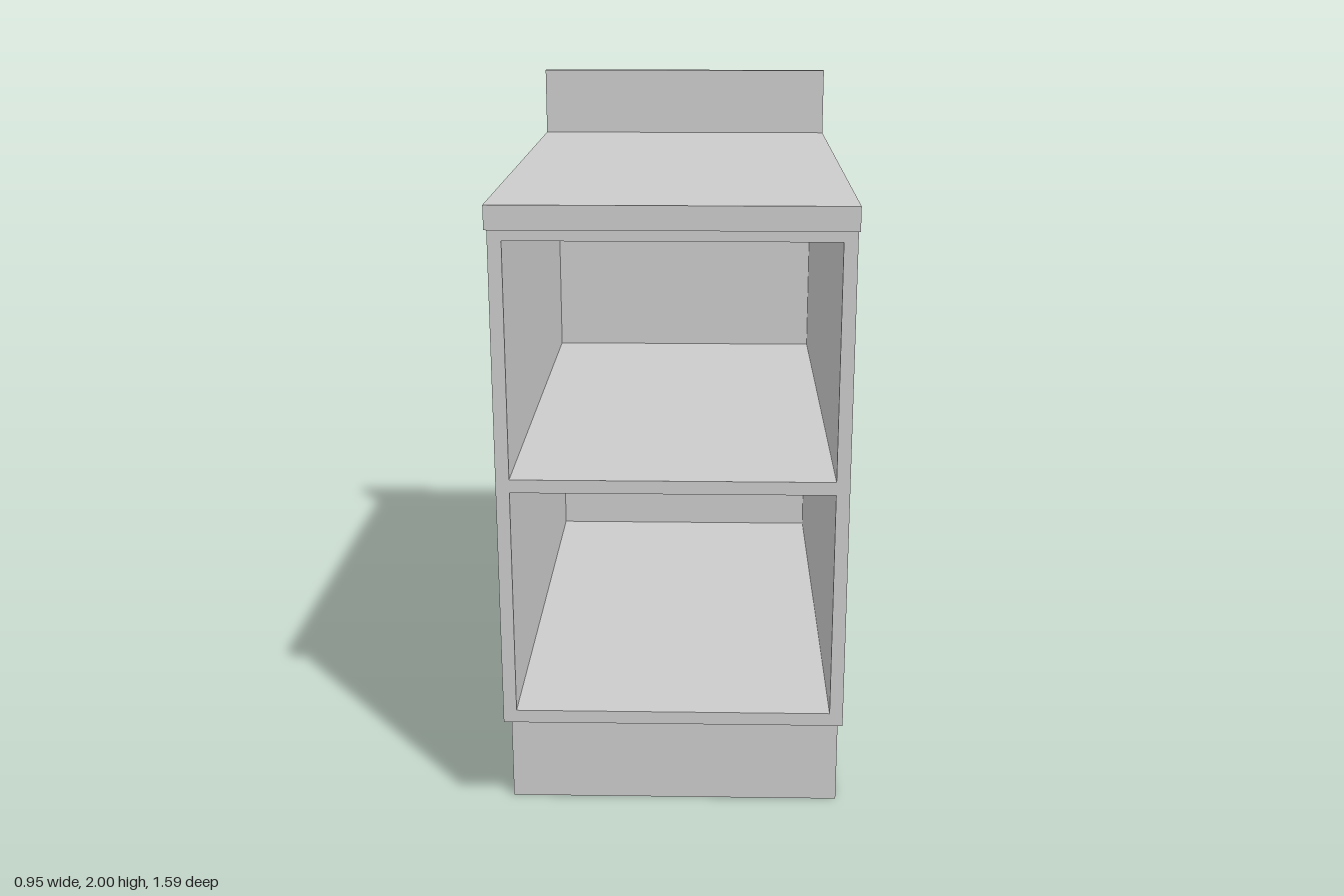
import * as THREE from 'three';

const HALF_W = 0.475;   // half cabinet width
const BACK = -0.793;    // rear plane
const FRONT = 0.742;    // carcass front plane
const T = 0.037;        // panel thickness

export function createModel() {
  const group = new THREE.Group();
  const material = new THREE.MeshStandardMaterial({ color: 0xcccccc });

  // Box given by its extents on each axis
  const panel = (name, [x0, x1], [y0, y1], [z0, z1]) => {
    const mesh = new THREE.Mesh(new THREE.BoxGeometry(x1 - x0, y1 - y0, z1 - z0), material);
    mesh.position.set((x0 + x1) / 2, (y0 + y1) / 2, (z0 + z1) / 2);
    mesh.name = name;
    group.add(mesh);
  };

  const full = [-HALF_W, HALF_W];
  const inner = [-HALF_W + T, HALF_W - T];
  const depth = [BACK, FRONT];
  const innerDepth = [BACK + T, FRONT];

  // Recessed plinth
  panel('toeKickBase', full, [0, 0.322], [BACK, 0.585]);

  // Open-fronted carcass
  panel('leftSide', [HALF_W - T, HALF_W], [0.322, 1.726], depth);
  panel('rightSide', [-HALF_W, -HALF_W + T], [0.322, 1.726], depth);
  panel('backPanel', inner, [0.322, 1.726], [BACK, BACK + T]);
  panel('bottomPanel', inner, [0.322, 0.359], innerDepth);
  panel('shelf', inner, [1.005, 1.042], innerDepth);
  panel('topPanel', inner, [1.689, 1.726], innerDepth);

  // Overhanging worktop with upstand at the rear
  panel('worktop', full, [1.726, 1.79], [BACK, 0.795]);
  panel('backsplash', full, [1.79, 2], [BACK, -0.768]);

  return group;
}
